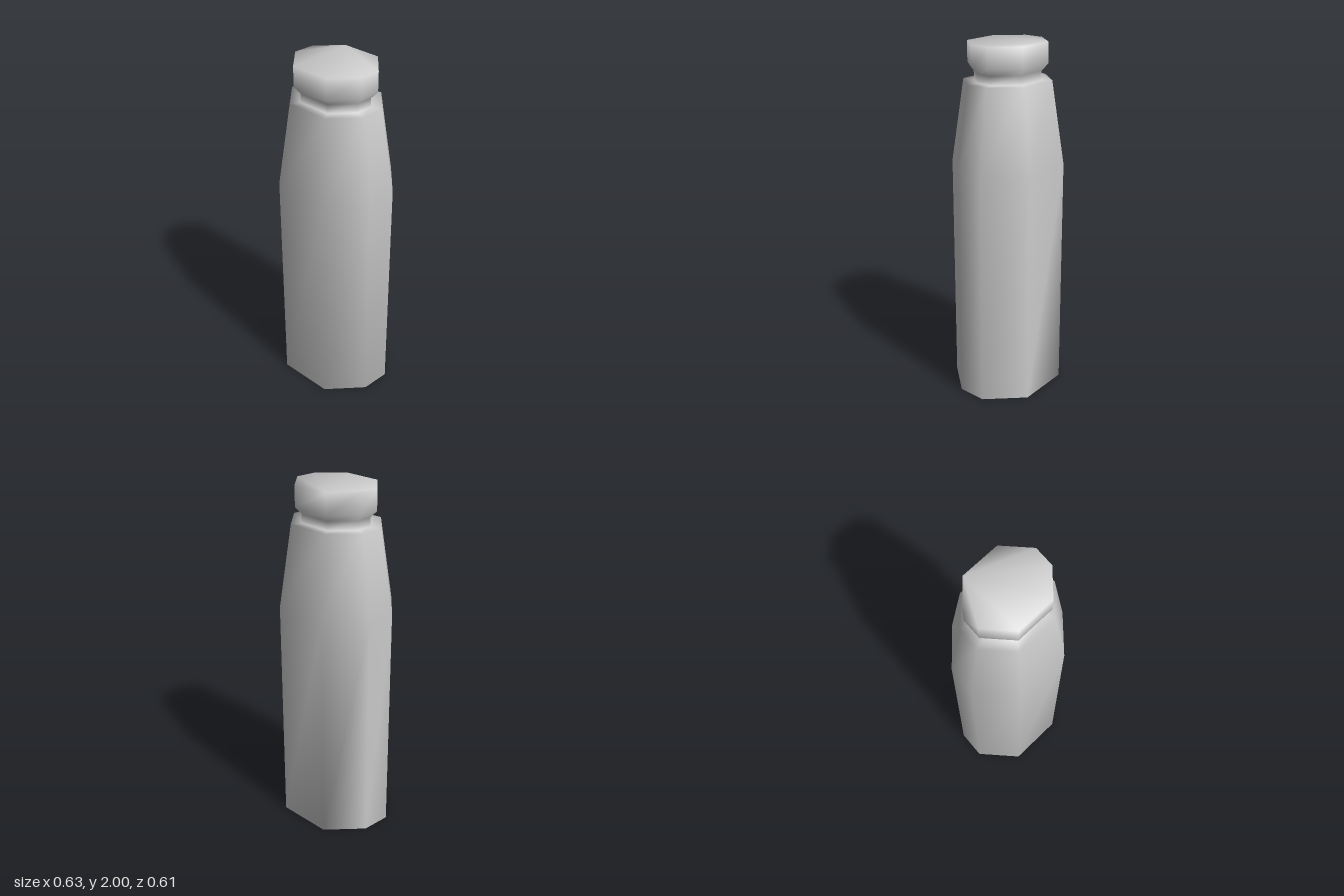
import * as THREE from 'three';

// Half of the uneven eight-sided footprint (x, z); the other half is its point reflection
const HALF = [[0.1, -0.296], [0.314, -0.056], [0.283, 0.204], [0.15, 0.304]];
const FOOTPRINT = [...HALF, ...HALF.map(([x, z]) => [-x, -z])];

// Height and footprint scale, from base through shoulder and neck to cap
const RINGS = [
  [0, 1], [1.33, 1], [1.795, 0.775],
  [1.795, 0.59], [1.845, 0.59],
  [1.885, 0.7], [2, 0.7],
];

// Closed smooth surface lofted through the scaled footprints
function loft(rings, outline) {
  const n = outline.length;
  const positions = [];
  const index = [];
  for (const [y, s] of rings) {
    for (const [x, z] of outline) positions.push(x * s, y, z * s);
  }
  for (let r = 0; r < rings.length - 1; r++) {
    for (let i = 0; i < n; i++) {
      const a = r * n + i;
      const b = r * n + (i + 1) % n;
      index.push(b, a, a + n, b, a + n, b + n);
    }
  }
  // Flat base and top
  const top = (rings.length - 1) * n;
  for (let i = 1; i < n - 1; i++) {
    index.push(0, i, i + 1);
    index.push(top, top + i + 1, top + i);
  }
  const geometry = new THREE.BufferGeometry();
  geometry.setAttribute('position', new THREE.Float32BufferAttribute(positions, 3));
  geometry.setIndex(index);
  geometry.computeVertexNormals();
  return geometry;
}

export function createModel() {
  const group = new THREE.Group();
  group.name = 'bottle';

  const grey = new THREE.MeshStandardMaterial({ color: 0xcccccc });
  grey.name = 'light grey';

  // Body, neck and cap share one continuous smooth skin
  const bottle = new THREE.Mesh(loft(RINGS, FOOTPRINT), grey);
  bottle.name = 'bottleBodyAndCap';
  group.add(bottle);

  return group;
}
